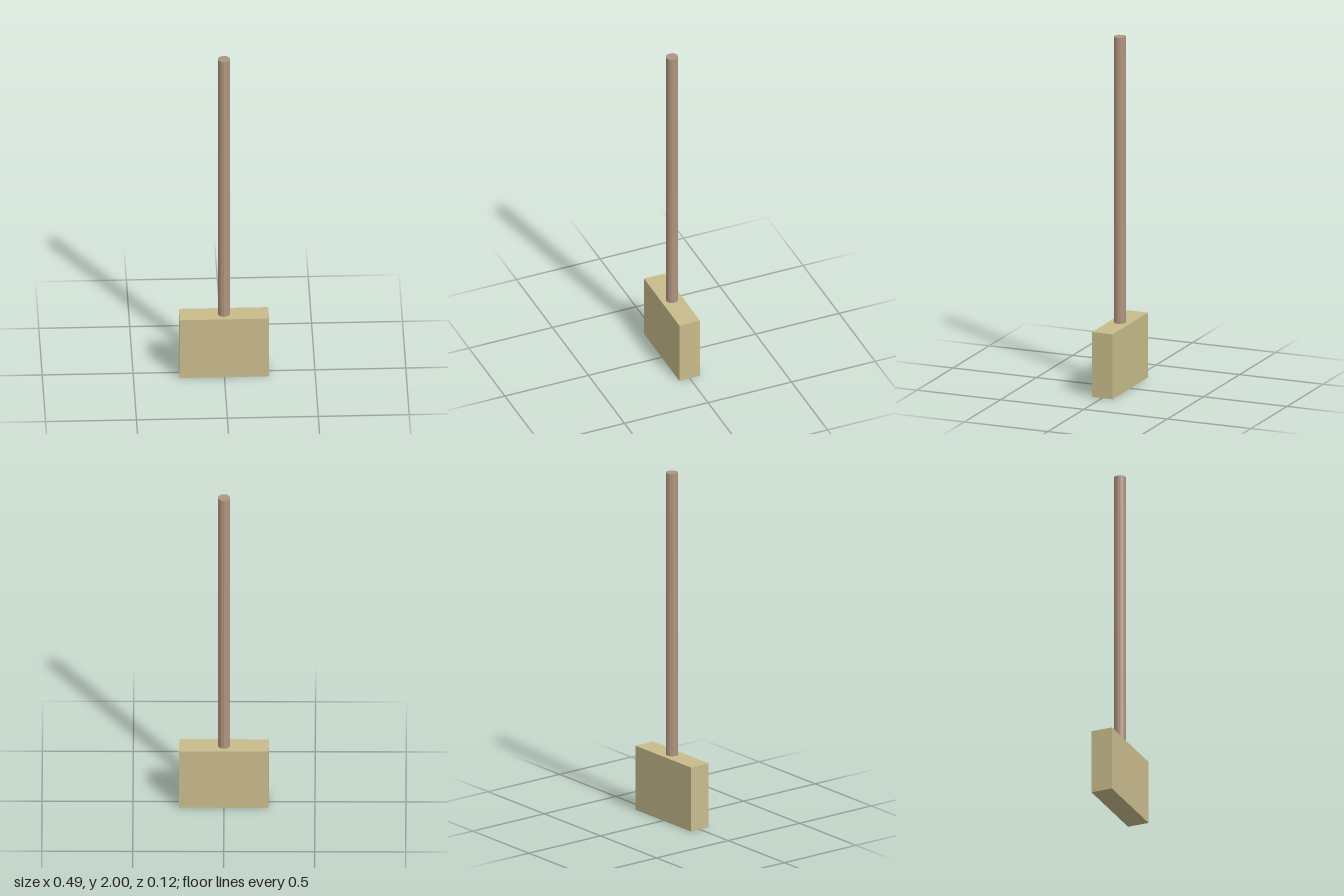
import * as THREE from 'three';

export function createModel() {
  const group = new THREE.Group();
  const paleWood = new THREE.MeshStandardMaterial({ color: 0xc9bc8c });
  paleWood.name = 'paleWood';
  const brownWood = new THREE.MeshStandardMaterial({ color: 0xb09580, flatShading: true });
  brownWood.name = 'brownWood';

  const headHeight = 0.37;
  const totalHeight = 2;

  // Flat rectangular head standing on the ground
  const head = new THREE.Mesh(new THREE.BoxGeometry(0.492, headHeight, 0.123), paleWood);
  head.name = 'head';
  head.position.y = headHeight / 2;
  group.add(head);

  // Straight round handle, seated slightly into the head
  const base = headHeight - 0.02;
  const length = totalHeight - base;
  const handle = new THREE.Mesh(new THREE.CylinderGeometry(0.034, 0.034, length, 12), brownWood);
  handle.name = 'handle';
  handle.position.y = base + length / 2;
  group.add(handle);

  return group;
}
